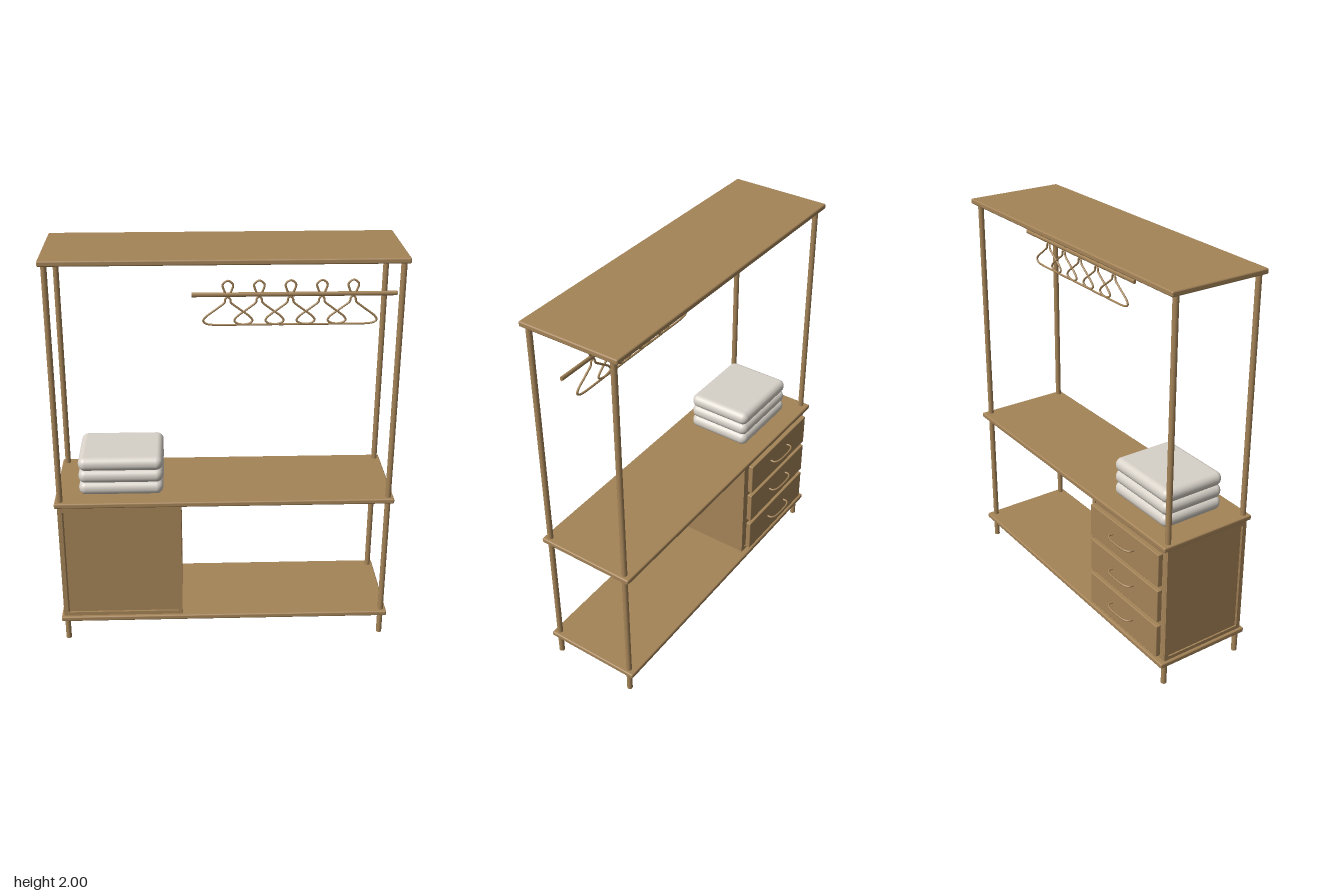
import * as THREE from 'three';
import { RoundedBoxGeometry } from 'three/addons/geometries/RoundedBoxGeometry.js';

export function createModel() {
  const root = new THREE.Group();
  root.name = 'clothesRack';
  const wood = new THREE.MeshStandardMaterial({ color: 0xa58458 });
  wood.name = 'wood';
  const fabric = new THREE.MeshStandardMaterial({ color: 0xd8d2c9 });
  fabric.name = 'fabric';

  const add = (name, geo, mat, x, y, z, parent = root) => {
    const m = new THREE.Mesh(geo, mat);
    m.name = name;
    m.position.set(x, y, z);
    parent.add(m);
    return m;
  };
  // box given by its min and max corners
  const box = (name, x0, x1, y0, y1, z0, z1, parent) =>
    add(name, new THREE.BoxGeometry(x1 - x0, y1 - y0, z1 - z0), wood,
      (x0 + x1) / 2, (y0 + y1) / 2, (z0 + z1) / 2, parent);

  // Three long shelves with softened edges
  const shelfGeo = new RoundedBoxGeometry(1.666, 0.026, 0.512, 2, 0.007);
  [['bottomShelf', 0.125], ['middleShelf', 0.777], ['topShelf', 1.987]]
    .forEach(([name, y]) => add(name, shelfGeo, wood, 0, y, 0.02));

  // Four round corner posts
  const postGeo = new THREE.CylinderGeometry(0.014, 0.014, 1.98, 20);
  for (const x of [-0.805, 0.805])
    for (const z of [-0.196, 0.246]) add('post', postGeo, wood, x, 0.99, z);

  // Cabinet: inset body inside a frame of bars
  const cabinet = new THREE.Group();
  cabinet.name = 'cabinet';
  root.add(cabinet);
  const X0 = -0.82, X1 = -0.215, Y0 = 0.137, Y1 = 0.765, Z0 = -0.206, Z1 = 0.26, t = 0.022;
  box('cabinetBody', X0 + 0.008, X1 - 0.001, Y0, Y1, Z0 + 0.004, Z1 - 0.01, cabinet);
  for (const x of [X0, X1 - t])
    for (const z of [Z0, Z1 - t]) box('cabinetUpright', x, x + t, Y0, Y1, z, z + t, cabinet);
  for (const y of [Y0, Y1 - 0.03]) {
    const h = y === Y0 ? 0.02 : 0.03;
    for (const z of [Z0, Z1 - t]) box('cabinetRail', X0 + t, X1 - t, y, y + h, z, z + t, cabinet);
    box('cabinetSideRail', X0, X0 + t, y, y + h, Z0 + t, Z1 - t, cabinet);
  }

  // Drawers with bow handles on the back
  const handleCurve = new THREE.CatmullRomCurve3([
    [-0.084, 0, 0], [-0.084, 0, -0.022], [-0.066, 0, -0.036], [0, 0, -0.042],
    [0.066, 0, -0.036], [0.084, 0, -0.022], [0.084, 0, 0],
  ].map(p => new THREE.Vector3(...p)));
  const handleGeo = new THREE.TubeGeometry(handleCurve, 40, 0.005, 8);
  const drawerGeo = new RoundedBoxGeometry(0.546, 0.175, 0.027, 2, 0.004);
  [0.247, 0.447, 0.645].forEach(y => {
    add('drawerFront', drawerGeo, wood, -0.518, y, -0.2235, cabinet);
    add('drawerHandle', handleGeo, wood, -0.517, y + 0.014, -0.235, cabinet);
  });

  // Hanging rail
  const rail = add('hangingRail', new THREE.CylinderGeometry(0.011, 0.011, 0.965, 16), wood, 0.333, 1.779, 0.08);
  rail.rotation.z = Math.PI / 2;
  rail.scale.z = 0.7;

  // Wire hangers: one closed wire that crosses at the neck
  const half = [[0.024, 1.828], [0.018, 1.8], [0.005, 1.776], [-0.012, 1.757],
    [-0.014, 1.742], [-0.05, 1.712], [-0.108, 1.667], [-0.116, 1.65], [-0.1, 1.637]];
  const wire = [[0, 1.846], ...half, [0, 1.631], ...half.map(([x, y]) => [-x, y]).reverse()];
  const wireCurve = new THREE.CatmullRomCurve3(
    wire.map(([x, y]) => new THREE.Vector3(x, y, 0)), true, 'centripetal');
  const wireGeo = new THREE.TubeGeometry(wireCurve, 140, 0.005, 8, true);
  for (let i = 0; i < 5; i++) add('hanger', wireGeo, wood, 0.02 + i * 0.147, 0, 0.08);

  // Stack of folded cushions, gently puffed and softened at the corners
  const cushionGeo = new RoundedBoxGeometry(0.425, 0.07, 0.35, 8, 0.034);
  const p = cushionGeo.attributes.position;
  for (let i = 0; i < p.count; i++) {
    const u = p.getX(i) / 0.2125, v = p.getZ(i) / 0.175;
    const pull = 1 - 0.035 * u * u * v * v;
    p.setX(i, p.getX(i) * pull);
    p.setZ(i, p.getZ(i) * pull);
  }
  [0.825, 0.889, 0.954].forEach(y => add('cushion', cushionGeo, fabric, -0.508, y, 0.026));

  return root;
}
